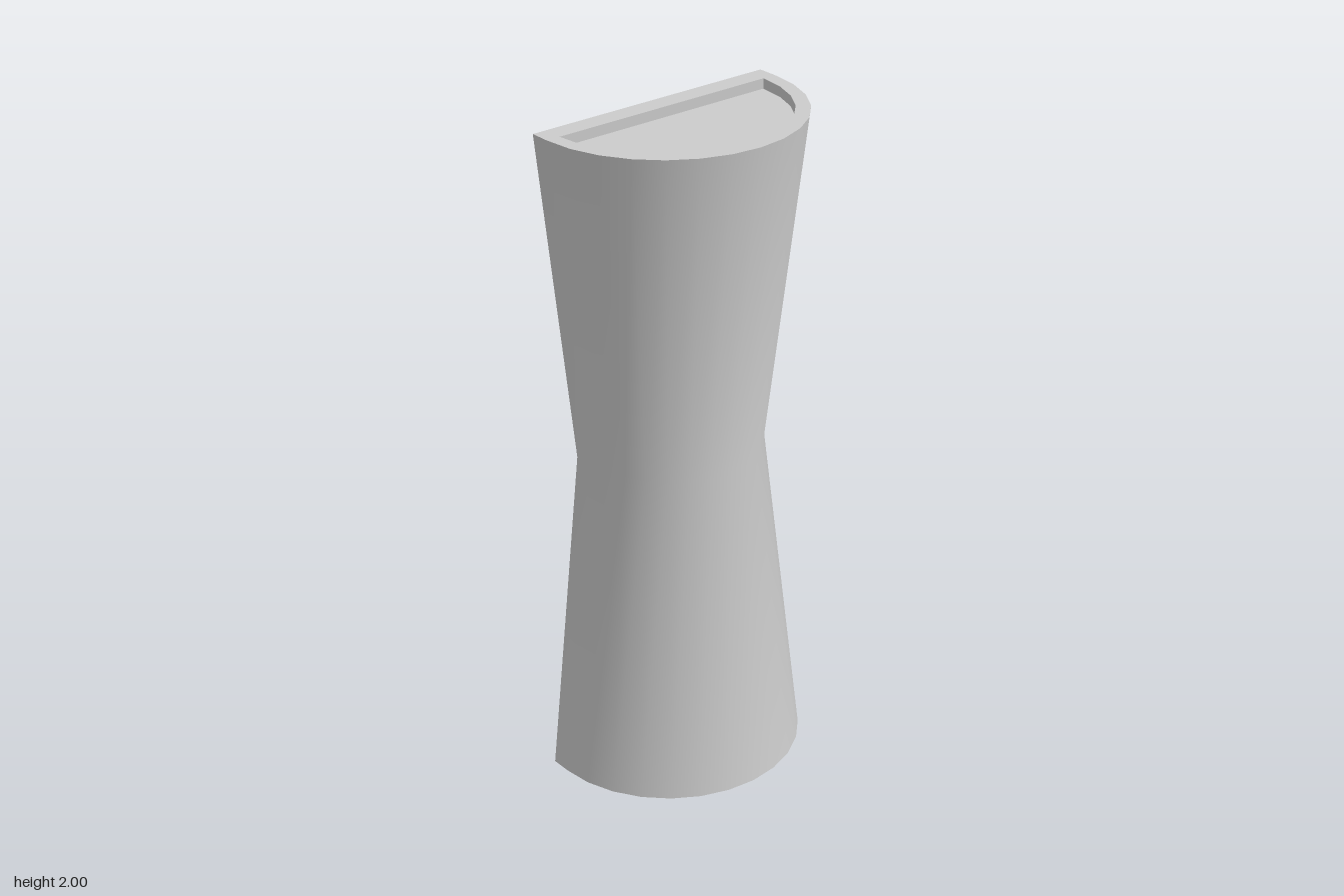
import * as THREE from 'three';
import { toCreasedNormals } from 'three/addons/utils/BufferGeometryUtils.js';

const HEIGHT = 2, WAIST_Y = 1, RIM_R = 0.395, WAIST_R = 0.28;
const RECESS_R = 0.353, RECESS_DEPTH = 0.03;
const ARC_Z = -0.167, BACK_Z = -0.228, SEGMENTS = 14;

const material = new THREE.MeshStandardMaterial({ color: 0xcccccc });

// Half-round outline as [x, z] points; the optional flat back closes it further behind
function outline(r, backZ) {
  const pts = [];
  for (let i = 0; i <= SEGMENTS; i++) {
    const t = (i / SEGMENTS) * Math.PI;
    pts.push([r * Math.cos(t), ARC_Z + r * Math.sin(t)]);
  }
  if (backZ !== undefined) pts.push([-r, backZ], [r, backZ]);
  return pts;
}

// Closed wall through rings; rising rings face outwards, falling rings face inwards
function loft(rings) {
  const pos = [], index = [], n = rings[0].pts.length;
  for (const { pts, y } of rings) for (const [x, z] of pts) pos.push(x, y, z);
  for (let k = 0; k < rings.length - 1; k++) {
    for (let i = 0; i < n; i++) {
      const a = k * n + i, b = k * n + ((i + 1) % n);
      index.push(b, a, a + n, b, a + n, b + n);
    }
  }
  const geo = new THREE.BufferGeometry();
  geo.setAttribute('position', new THREE.Float32BufferAttribute(pos, 3));
  geo.setIndex(index);
  return toCreasedNormals(geo, Math.PI / 6);
}

// Flat face pointing up at height y, with an optional hole
function face(pts, y, hole) {
  const flat = (p) => p.map(([x, z]) => new THREE.Vector2(x, -z));
  const shape = new THREE.Shape(flat(pts));
  if (hole) shape.holes.push(new THREE.Path(flat(hole)));
  return new THREE.ShapeGeometry(shape).rotateX(-Math.PI / 2).translate(0, y, 0);
}

function part(name, geometry) {
  const mesh = new THREE.Mesh(geometry, material);
  mesh.name = name;
  return mesh;
}

// Rim, recess wall and recess floor of one end, relative to the waist
function createEnd(name) {
  const top = HEIGHT - WAIST_Y, floorY = top - RECESS_DEPTH;
  const inner = outline(RECESS_R);
  const end = new THREE.Group();
  end.name = name;
  end.add(
    part('rim', face(outline(RIM_R, BACK_Z), top, inner)),
    part('recessWall', loft([{ pts: inner, y: top }, { pts: inner, y: floorY }])),
    part('recessFloor', face(inner, floorY))
  );
  end.position.y = WAIST_Y;
  return end;
}

export function createModel() {
  const model = new THREE.Group();
  model.name = 'waistedHalfColumn';

  // Body narrowing to the waist, with a flat back
  model.add(part('body', loft([
    { pts: outline(RIM_R, BACK_Z), y: 0 },
    { pts: outline(WAIST_R, BACK_Z), y: WAIST_Y },
    { pts: outline(RIM_R, BACK_Z), y: HEIGHT },
  ])));

  // Matching recessed ends, the lower one turned upside down
  const bottom = createEnd('bottomEnd');
  bottom.rotation.z = Math.PI;
  model.add(createEnd('topEnd'), bottom);
  return model;
}
